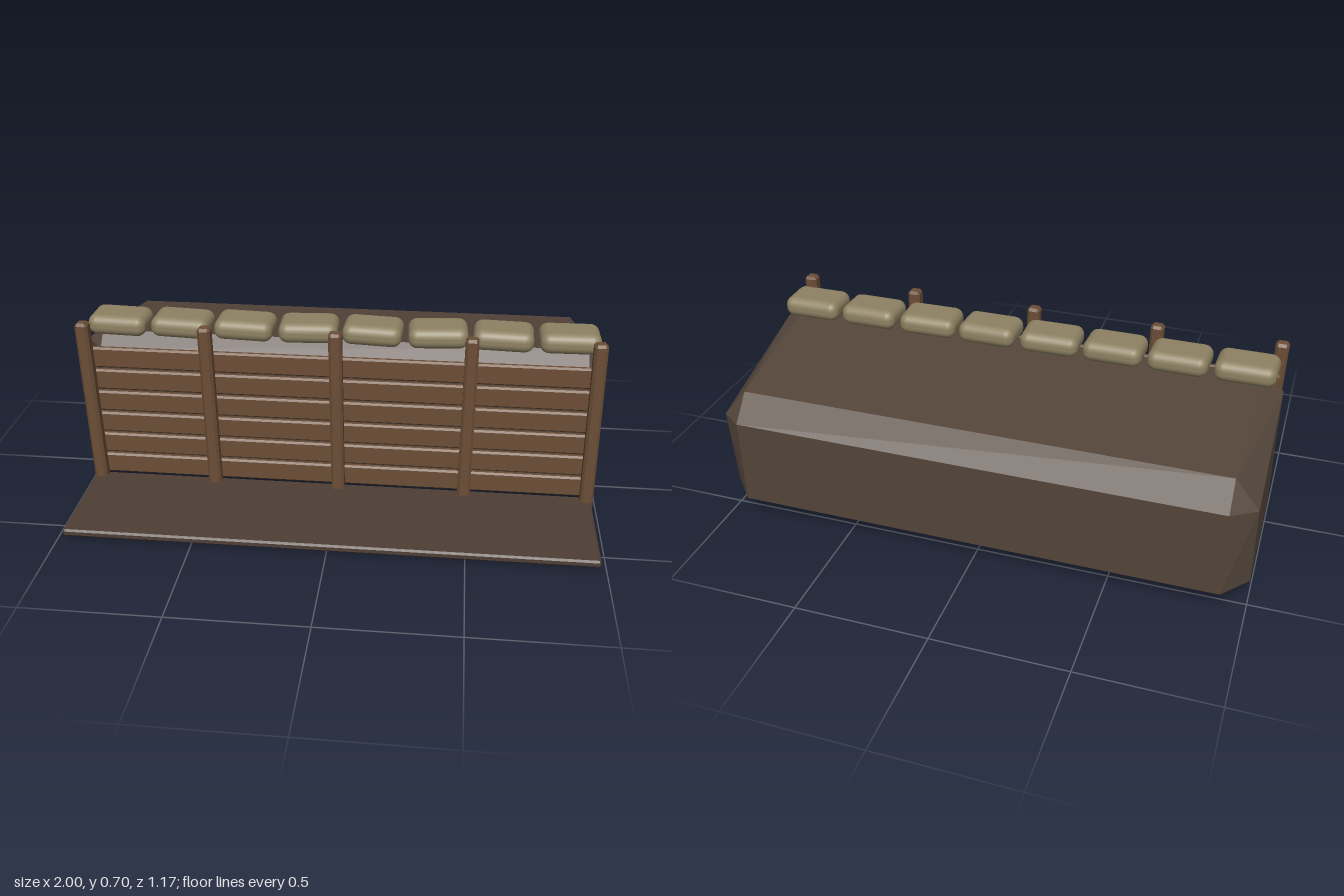
import * as THREE from 'three';
import { ConvexGeometry } from 'three/addons/geometries/ConvexGeometry.js';
import { RoundedBoxGeometry } from 'three/addons/geometries/RoundedBoxGeometry.js';

const mat = (name, color) => {
  const m = new THREE.MeshStandardMaterial({ color });
  m.name = name;
  return m;
};

// Box with every edge cut off by c
function chamferBox(w, h, d, c) {
  const pts = [];
  for (const x of [-w / 2, w / 2]) for (const y of [-h / 2, h / 2]) for (const z of [-d / 2, d / 2]) {
    const [cx, cy, cz] = [x, y, z].map(v => v - Math.sign(v) * c);
    pts.push(new THREE.Vector3(x, cy, cz), new THREE.Vector3(cx, y, cz), new THREE.Vector3(cx, cy, z));
  }
  return new ConvexGeometry(pts);
}

// Sloping mound: three points at each corner, mirrored to both ends
function moundGeometry() {
  const corners = [
    [[1, 0.575, 0.03], [0.93, 0.62, 0.05], [0.93, 0.565, 0.1]],
    [[1, 0.418, -0.51], [0.91, 0.525, -0.5], [0.91, 0.43, -0.583]],
    [[1, 0.1, -0.485], [0.91, 0.025, -0.5], [0.91, 0.095, -0.583]],
    [[1, 0.09, 0.025], [0.92, 0.005, 0.06], [0.92, 0.09, 0.118]],
  ];
  const pts = [];
  for (const [x, y, z] of corners.flat()) {
    pts.push(new THREE.Vector3(x, y, z), new THREE.Vector3(-x, y, z));
  }
  return new ConvexGeometry(pts);
}

export function createModel() {
  const model = new THREE.Group();
  model.name = 'trenchWall';
  const earth = mat('earth', 0x54453a);
  const mud = mat('trodden mud', 0x4e3f35);
  const timber = mat('timber', 0x6c4e36);
  const canvas = mat('sandbag canvas', 0x8e8263);

  const add = (name, geometry, material, x, y, z) => {
    const mesh = new THREE.Mesh(geometry, material);
    mesh.name = name;
    mesh.position.set(x, y, z);
    model.add(mesh);
    return mesh;
  };

  add('earthBank', moundGeometry(), earth, 0, 0, 0);
  add('floor', chamferBox(1.96, 0.028, 0.435, 0.007), mud, 0, 0.029, 0.3675);

  // Horizontal revetment boards
  const board = chamferBox(1.96, 0.083, 0.025, 0.007);
  for (let i = 0; i < 6; i++) add('board', board, timber, 0, 0.08 + i * 0.0925, 0.132);

  // Upright posts, each leaning a little
  const post = chamferBox(0.05, 0.695, 0.05, 0.01);
  const leans = [0.025, 0.018, 0.016, -0.004, 0.012];
  [-0.96, -0.495, -0.005, 0.492, 0.958].forEach((x, i) => {
    add('post', post, timber, x, 0.352, 0.17).rotation.z = leans[i];
  });

  // Row of sandbags along the crest
  const bag = new RoundedBoxGeometry(0.226, 0.08, 0.16, 3, 0.035);
  const yaws = [-0.03, -0.04, -0.035, 0.03, -0.045, 0.045, -0.03, 0.01];
  yaws.forEach((yaw, i) => {
    const mesh = add('sandbag', bag, canvas, -0.862 + i * 0.2455, 0.653, 0.026);
    mesh.rotation.set(0, yaw, yaw * 0.4);
  });

  return model;
}
